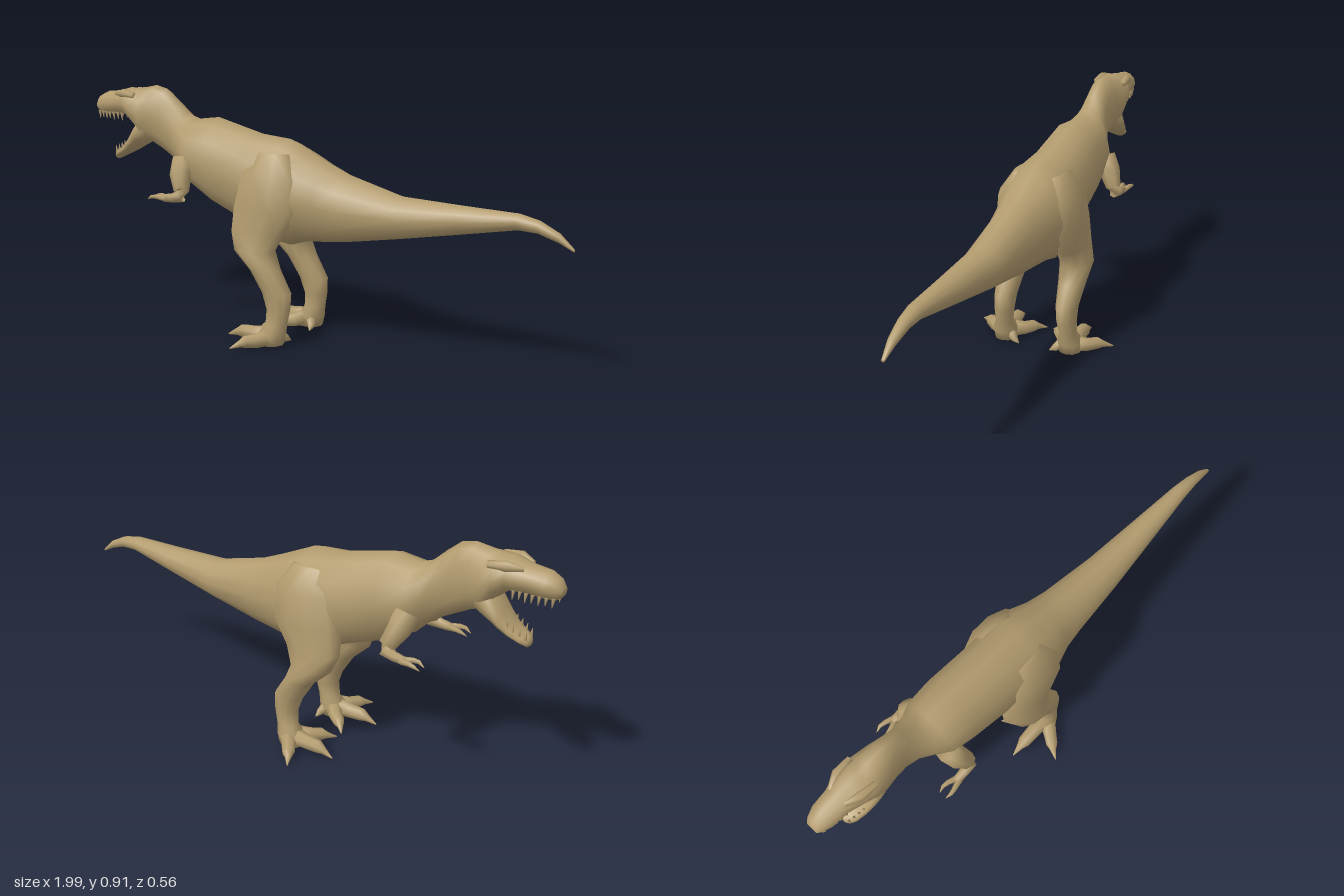
import * as THREE from 'three';

const hide = new THREE.MeshStandardMaterial({ color: 0xb29b6e });
hide.name = 'tan hide';

const V = (x, y, z) => new THREE.Vector3(x, y, z);

// Skin a list of equal-length rings, close both ends, face outward
function loft(name, rings, side = 1) {
  const n = rings[0].length, pos = [], idx = [];
  for (const r of rings) for (const p of r) pos.push(p.x, p.y, p.z * side);
  for (let i = 0; i < rings.length - 1; i++) {
    for (let j = 0; j < n; j++) {
      const a = i * n + j, b = i * n + (j + 1) % n;
      idx.push(a, b, a + n, b, b + n, a + n);
    }
  }
  for (const end of [0, rings.length - 1]) {
    const c = pos.length / 3, m = V(0, 0, 0);
    for (const p of rings[end]) m.addScaledVector(p, 1 / n);
    pos.push(m.x, m.y, m.z * side);
    for (let j = 0; j < n; j++) {
      const a = end * n + j, b = end * n + (j + 1) % n;
      if (end) idx.push(a, b, c); else idx.push(b, a, c);
    }
  }
  // signed volume tells whether the faces must be turned round
  let vol = 0;
  const at = i => V(pos[3 * i], pos[3 * i + 1], pos[3 * i + 2]);
  for (let i = 0; i < idx.length; i += 3) vol += at(idx[i]).dot(at(idx[i + 1]).cross(at(idx[i + 2])));
  if (vol < 0) idx.reverse();
  const g = new THREE.BufferGeometry();
  g.setAttribute('position', new THREE.Float32BufferAttribute(pos, 3));
  g.setIndex(idx);
  g.computeVertexNormals();
  const mesh = new THREE.Mesh(g, hide);
  mesh.name = name;
  return mesh;
}

const angles = n => Array.from({ length: n }, (_, j) => j / n * Math.PI * 2);

// Upright cross-section: x, top, bottom, half width
const ringX = ([x, top, bot, hw]) => angles(12).map(a =>
  V(x, (top + bot) / 2 + Math.cos(a) * (top - bot) / 2, Math.sin(a) * hw));

// Level cross-section: y, front x, back x, inner z, outer z
const ringY = ([y, x0, x1, z0, z1]) => angles(10).map(a =>
  V((x0 + x1) / 2 + Math.cos(a) * (x1 - x0) / 2, y, (z0 + z1) / 2 + Math.sin(a) * (z1 - z0) / 2));

// Tapered tube through points [x, y, z, radius]
function limb(name, pts, side, n = 7) {
  const p = pts.map(q => V(q[0], q[1], q[2]));
  const rings = p.map((c, i) => {
    const t = p[Math.min(i + 1, p.length - 1)].clone().sub(p[Math.max(i - 1, 0)]).normalize();
    const u = V(-t.z, 0, t.x).normalize(), v = u.clone().cross(t);
    return angles(n).map(a => c.clone()
      .addScaledVector(u, Math.cos(a) * pts[i][3]).addScaledVector(v, Math.sin(a) * pts[i][3]));
  });
  return loft(name, rings, side);
}

export function createModel() {
  const model = new THREE.Group();
  model.name = 'dinosaur';

  // Skull, neck, trunk and tail in one skin
  model.add(loft('body', [
    [-1.0, .83, .8, .022], [-.985, .855, .785, .034], [-.95, .872, .78, .047], [-.89, .878, .785, .052],
    [-.83, .893, .78, .07], [-.79, .893, .745, .08], [-.75, .898, .69, .075], [-.7, .908, .675, .064],
    [-.65, .897, .648, .056], [-.6, .855, .62, .06], [-.55, .808, .585, .082], [-.5, .79, .535, .113],
    [-.4, .803, .475, .122], [-.2, .755, .395, .13], [-.08, .745, .35, .14], [0, .708, .375, .132],
    [.07, .676, .38, .108], [.15, .642, .39, .095], [.37, .582, .43, .073], [.6, .575, .475, .05],
    [.8, .571, .515, .03], [.87, .556, .512, .023], [.94, .522, .49, .015], [.99, .476, .466, .006],
  ].map(ringX)));

  // Open lower jaw
  model.add(loft('lowerJaw', [
    [-.73, .79, .685, .058], [-.78, .765, .66, .064], [-.815, .71, .643, .058],
    [-.85, .668, .628, .05], [-.885, .648, .612, .04], [-.905, .64, .602, .026], [-.912, .63, .608, .012],
  ].map(ringX)));

  for (const s of [1, -1]) {
    const side = new THREE.Group();
    side.name = s > 0 ? 'leftSide' : 'rightSide';
    model.add(side);

    // Brow ridge
    side.add(limb('brow', [[-.88, .868, .034, .008], [-.83, .873, .052, .018], [-.77, .868, .058, .012]], s));

    // Teeth along both jaws
    for (let i = 0; i < 7; i++) {
      const x = -.98 + i * .021, z = .026 + Math.min(i, 3) * .004;
      side.add(limb('upperTooth', [[x, .795, z, .007], [x + .003, .764 + .004 * (i % 2), z, .001]], s, 5));
    }
    for (let i = 0; i < 4; i++) {
      const x = -.9 + i * .02, y = .632 + i * .009;
      side.add(limb('lowerTooth', [[x, y, .022 + i * .005, .006], [x - .003, y + .026, .022 + i * .005, .001]], s, 5));
    }

    // Thigh, shin and ankle
    side.add(loft('leg', [
      [.7, -.17, -.04, .04, .1], [.62, -.235, .02, .02, .155], [.5, -.265, .025, .03, .166],
      [.41, -.267, -.04, .06, .166], [.345, -.238, -.075, .061, .185], [.28, -.168, -.05, .074, .178],
      [.2, -.118, 0, .086, .168], [.14, -.096, -.004, .092, .167], [.085, -.1, -.014, .1, .166],
      [.045, -.13, -.022, .085, .185], [.008, -.125, -.03, .09, .18],
    ].map(ringY), s));

    // Three clawed toes and a small rear spur
    side.add(limb('middleToe', [[-.08, .04, .135, .035], [-.15, .036, .14, .028], [-.2, .036, .142, .025],
      [-.225, .028, .143, .014], [-.265, .013, .145, .002]], s));
    side.add(limb('innerToe', [[-.08, .04, .125, .034], [-.125, .03, .08, .026], [-.155, .03, .055, .023],
      [-.17, .024, .042, .013], [-.195, .013, .014, .002]], s));
    side.add(limb('outerToe', [[-.07, .04, .145, .034], [-.105, .028, .195, .026], [-.13, .03, .228, .023],
      [-.142, .024, .245, .013], [-.163, .013, .278, .002]], s));
    side.add(limb('spur', [[-.06, .04, .11, .022], [-.045, .018, .085, .014], [-.04, .006, .065, .002]], s));

    // Short arm with two clawed fingers
    side.add(limb('arm', [[-.51, .64, .085, .045], [-.5, .59, .115, .042], [-.475, .535, .142, .03],
      [-.474, .515, .149, .025], [-.51, .507, .154, .018], [-.55, .503, .156, .015]], s));
    for (const dz of [-.016, .016]) {
      side.add(limb('finger', [[-.54, .503, .156 + dz * .3, .012], [-.575, .508, .156 + dz, .009],
        [-.595, .506, .156 + dz * 1.2, .007], [-.617, .494, .156 + dz * .9, .001]], s, 6));
    }
  }
  return model;
}
